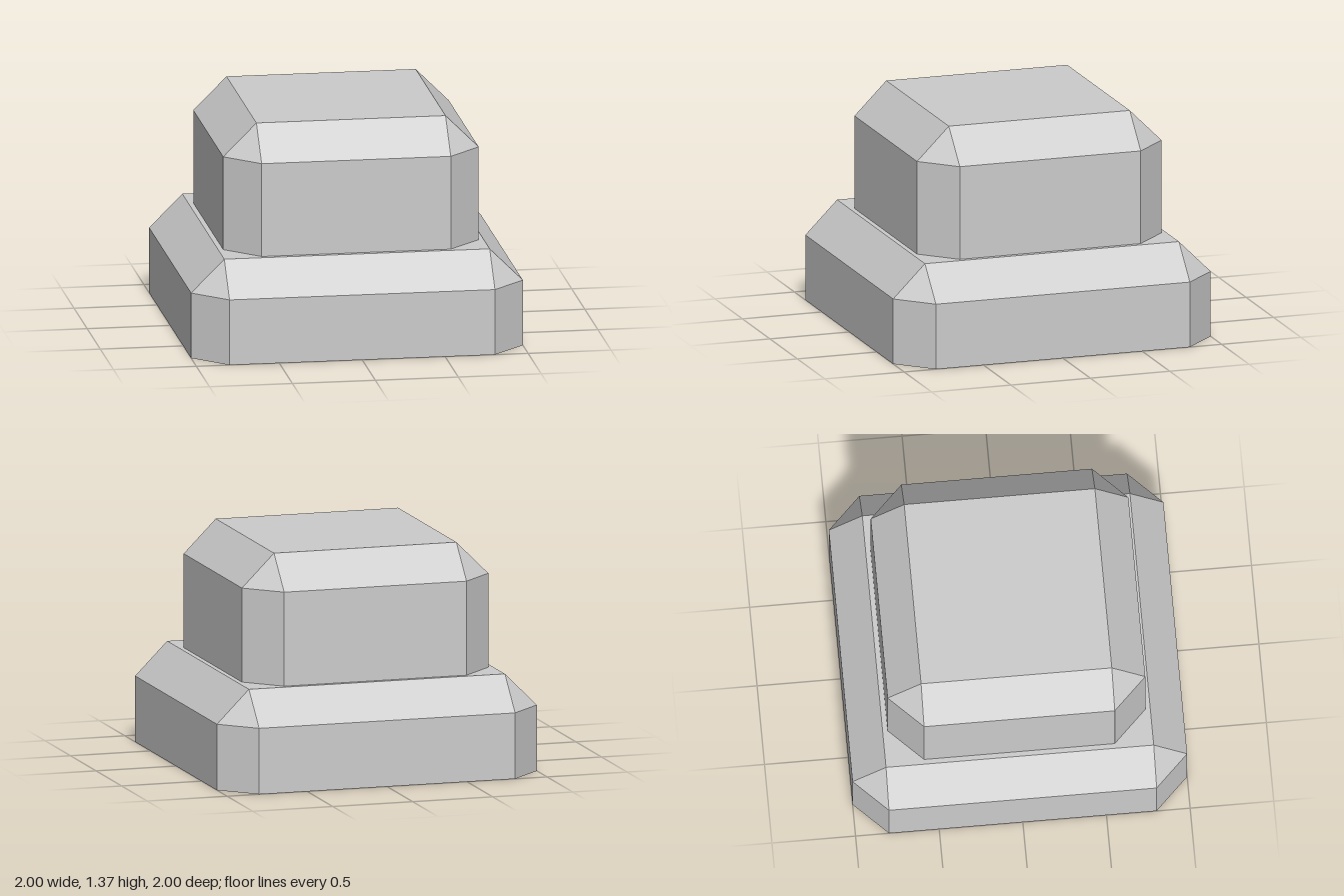
import * as THREE from 'three';
import { ConvexGeometry } from 'three/addons/geometries/ConvexGeometry.js';

const BEVEL = 0.2;
const material = new THREE.MeshStandardMaterial({ color: 0xcccccc, flatShading: true });

// Square block with a flat bottom and bevelled upright and top edges
function bevelledBlock(name, half, bottom, top) {
  const inner = half - BEVEL;
  const points = [];
  for (const sx of [-1, 1]) {
    for (const sz of [-1, 1]) {
      // chamfered corner of the wall
      for (const y of [bottom, top - BEVEL]) {
        points.push(new THREE.Vector3(sx * half, y, sz * inner));
        points.push(new THREE.Vector3(sx * inner, y, sz * half));
      }
      // corner of the flat top
      points.push(new THREE.Vector3(sx * inner, top, sz * inner));
    }
  }
  const mesh = new THREE.Mesh(new ConvexGeometry(points), material);
  mesh.name = name;
  return mesh;
}

export function createModel() {
  const model = new THREE.Group();
  model.name = 'steppedBlock';
  model.add(bevelledBlock('base', 1, 0, 0.6));
  model.add(bevelledBlock('upperBlock', 0.77, 0.6, 1.37));
  return model;
}
